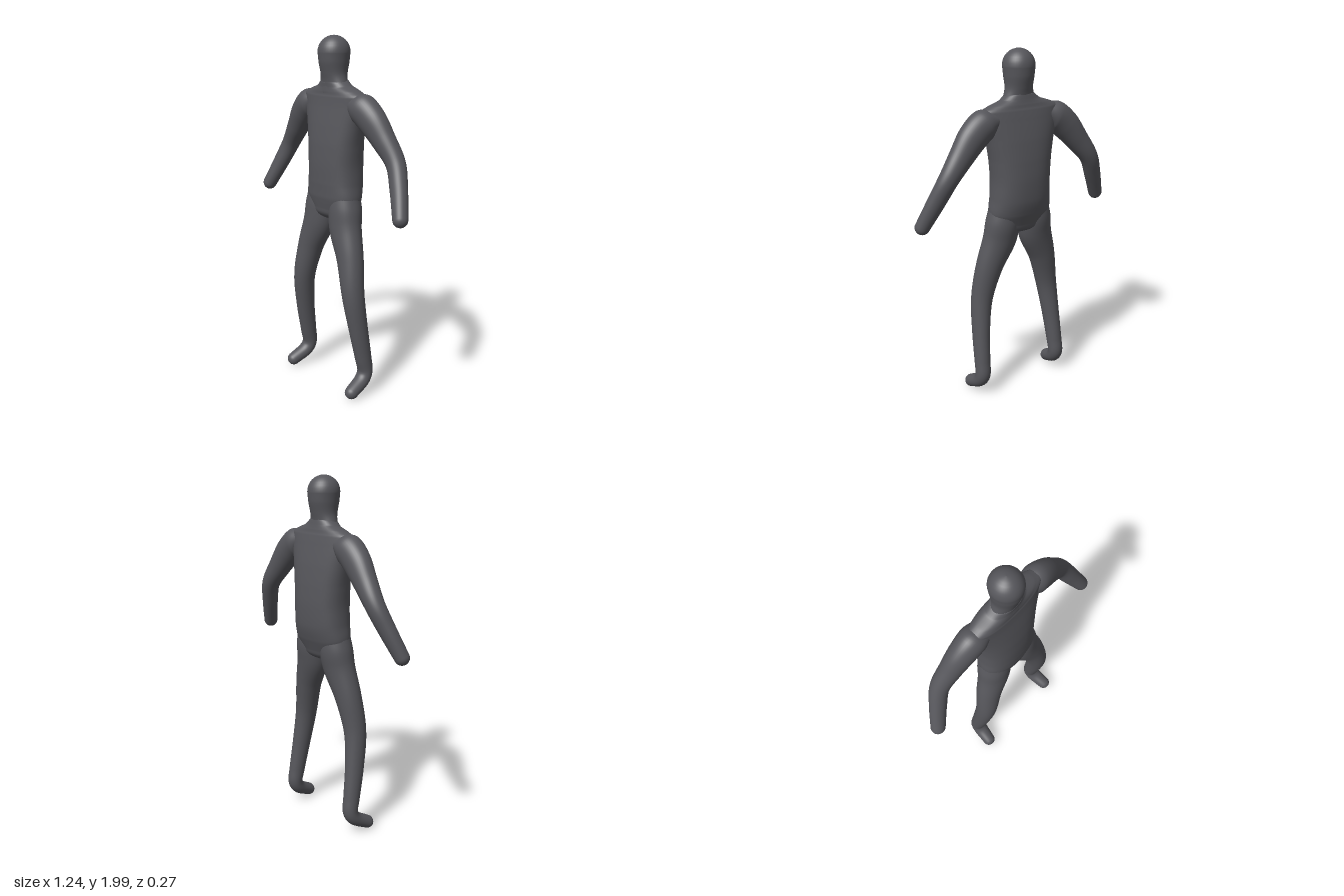
import * as THREE from 'three';

const RING = 40, STEPS = 8, CAP = 8;

// Smooth skin through sections [x, y, z, a, b]: a is the half size along `ref`, b across it.
// `power` above 2 gives fuller, squarer rings; both ends are closed by domes.
function loft(sections, ref, { power = 2, startCap = 1, endCap = 1 } = {}) {
  const path = new THREE.CatmullRomCurve3(sections.map(s => new THREE.Vector3(s[0], s[1], s[2])));
  const size = new THREE.CatmullRomCurve3(sections.map(s => new THREE.Vector3(s[3], s[4], 0)));
  const positions = [], index = [];
  let rings = 0;

  const addRing = (t, scale, shift) => {
    const T = path.getTangent(t), r = size.getPoint(t);
    const u = ref.clone().addScaledVector(T, -ref.dot(T)).normalize();
    const v = new THREE.Vector3().crossVectors(T, u);
    const c = path.getPoint(t).addScaledVector(T, shift * Math.min(r.x, r.y));
    const bend = k => Math.sign(k) * Math.pow(Math.abs(k), 2 / power);
    for (let j = 0; j < RING; j++) {
      const q = j / RING * Math.PI * 2;
      const p = c.clone()
        .addScaledVector(u, r.x * scale * bend(Math.cos(q)))
        .addScaledVector(v, r.y * scale * bend(Math.sin(q)));
      positions.push(p.x, p.y, p.z);
    }
    rings++;
  };

  for (let i = 0; i < CAP; i++) {
    const q = (1 - i / CAP) * Math.PI / 2;
    addRing(0, Math.max(Math.cos(q), 0.002), -Math.sin(q) * startCap);
  }
  const n = (sections.length - 1) * STEPS;
  for (let i = 0; i <= n; i++) addRing(i / n, 1, 0);
  for (let i = 1; i <= CAP; i++) {
    const q = i / CAP * Math.PI / 2;
    addRing(1, Math.max(Math.cos(q), 0.002), Math.sin(q) * endCap);
  }

  for (let i = 0; i < rings - 1; i++) {
    for (let j = 0; j < RING; j++) {
      const k = (j + 1) % RING;
      const a = i * RING + j, b = i * RING + k, c = a + RING, d = b + RING;
      index.push(a, b, d, a, d, c);
    }
  }
  const geometry = new THREE.BufferGeometry();
  geometry.setAttribute('position', new THREE.Float32BufferAttribute(positions, 3));
  geometry.setIndex(index);
  geometry.computeVertexNormals();
  return geometry;
}

export function createModel() {
  const group = new THREE.Group();
  group.name = 'figure';
  const skin = new THREE.MeshStandardMaterial({ color: 0x56565b });
  skin.name = 'dark grey';
  const X = new THREE.Vector3(1, 0, 0), Z = new THREE.Vector3(0, 0, 1);
  const add = (name, geometry) => {
    const mesh = new THREE.Mesh(geometry, skin);
    mesh.name = name;
    group.add(mesh);
  };

  // Trunk from the crotch up to the shoulder slope
  add('torso', loft([
    [0, 1.05, 0.004, 0.15, 0.088],
    [0, 1.12, -0.002, 0.186, 0.108],
    [0, 1.2, -0.01, 0.178, 0.12],
    [0, 1.3, -0.012, 0.174, 0.123],
    [0, 1.42, -0.012, 0.184, 0.117],
    [0, 1.53, -0.012, 0.205, 0.103],
    [0, 1.63, -0.01, 0.232, 0.084],
    [0, 1.685, -0.007, 0.24, 0.074],
    [0, 1.712, -0.005, 0.19, 0.068],
    [0, 1.735, -0.003, 0.12, 0.064],
    [0, 1.76, 0, 0.086, 0.062],
  ], X, { power: 2.3, startCap: 0.7, endCap: 0.1 }));

  // Neck and rounded head
  add('head', loft([
    [0, 1.7, 0, 0.12, 0.064],
    [0, 1.755, 0, 0.09, 0.061],
    [0, 1.8, 0, 0.078, 0.07],
    [0, 1.86, 0, 0.083, 0.084],
    [0, 1.912, 0, 0.088, 0.089],
  ], X, { startCap: 0.2 }));

  for (const [side, s] of [['left', 1], ['right', -1]]) {
    const mirror = rows => rows.map(([x, ...rest]) => [x * s, ...rest]);

    // Arm from inside the shoulder, bent at the elbow, to a round hand
    add(side + 'Arm', loft(mirror([
      [0.16, 1.645, -0.012, 0.06, 0.05],
      [0.228, 1.62, -0.013, 0.075, 0.085],
      [0.295, 1.565, -0.019, 0.07, 0.083],
      [0.37, 1.476, -0.029, 0.06, 0.069],
      [0.455, 1.365, -0.036, 0.051, 0.054],
      [0.512, 1.25, -0.006, 0.045, 0.05],
      [0.578, 1.106, 0.042, 0.04, 0.041],
    ]), Z));

    // Leg from inside the hip, over knee and ankle, to the toe
    add(side + 'Leg', loft(mirror([
      [0.092, 1.14, 0, 0.088, 0.085],
      [0.104, 1.05, 0.005, 0.1, 0.09],
      [0.118, 0.96, 0.014, 0.1, 0.083],
      [0.178, 0.8, 0.03, 0.08, 0.072],
      [0.224, 0.6, 0.045, 0.062, 0.064],
      [0.246, 0.4, 0.024, 0.051, 0.056],
      [0.257, 0.22, -0.005, 0.046, 0.048],
      [0.261, 0.135, -0.016, 0.045, 0.043],
      [0.265, 0.092, 0.008, 0.045, 0.041],
      [0.277, 0.042, 0.098, 0.039, 0.037],
    ]), X));
  }
  return group;
}
